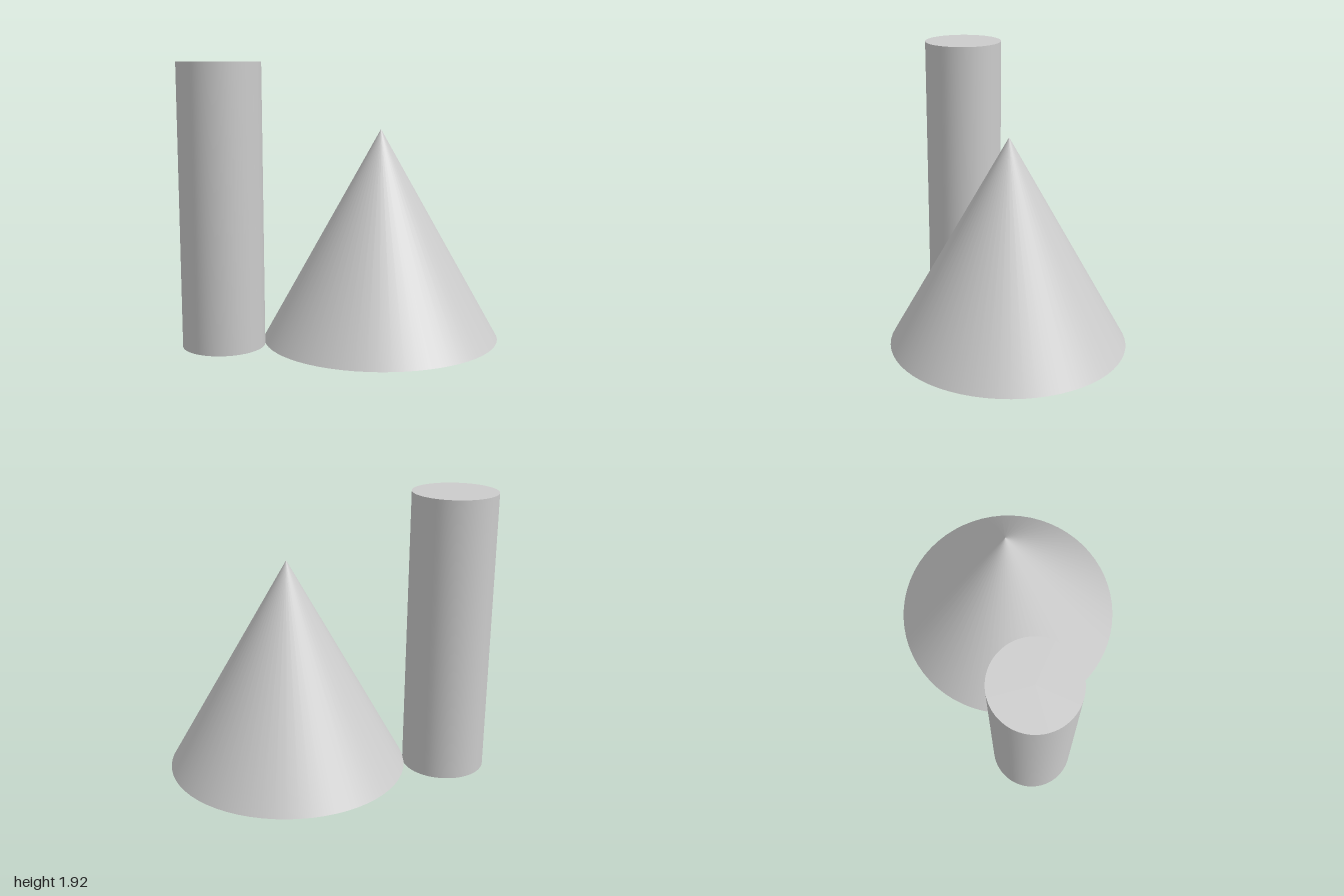
import * as THREE from 'three';

export function createModel() {
  const model = new THREE.Group();
  const material = new THREE.MeshStandardMaterial({ color: 0xcccccc });

  function addPart(name, geometry, x, y, z) {
    const mesh = new THREE.Mesh(geometry, material);
    mesh.name = name;
    mesh.position.set(x, y, z);
    model.add(mesh);
  }

  // Tall column standing on the ground
  const columnHeight = 1.92;
  addPart('column', new THREE.CylinderGeometry(0.28, 0.28, columnHeight, 64), -0.573, columnHeight / 2, 0.72);

  // Wide cone, its base just above the ground
  const coneHeight = 1.453;
  addPart('cone', new THREE.ConeGeometry(0.815, coneHeight, 64), 0.035, 0.012 + coneHeight / 2, -0.185);

  return model;
}
